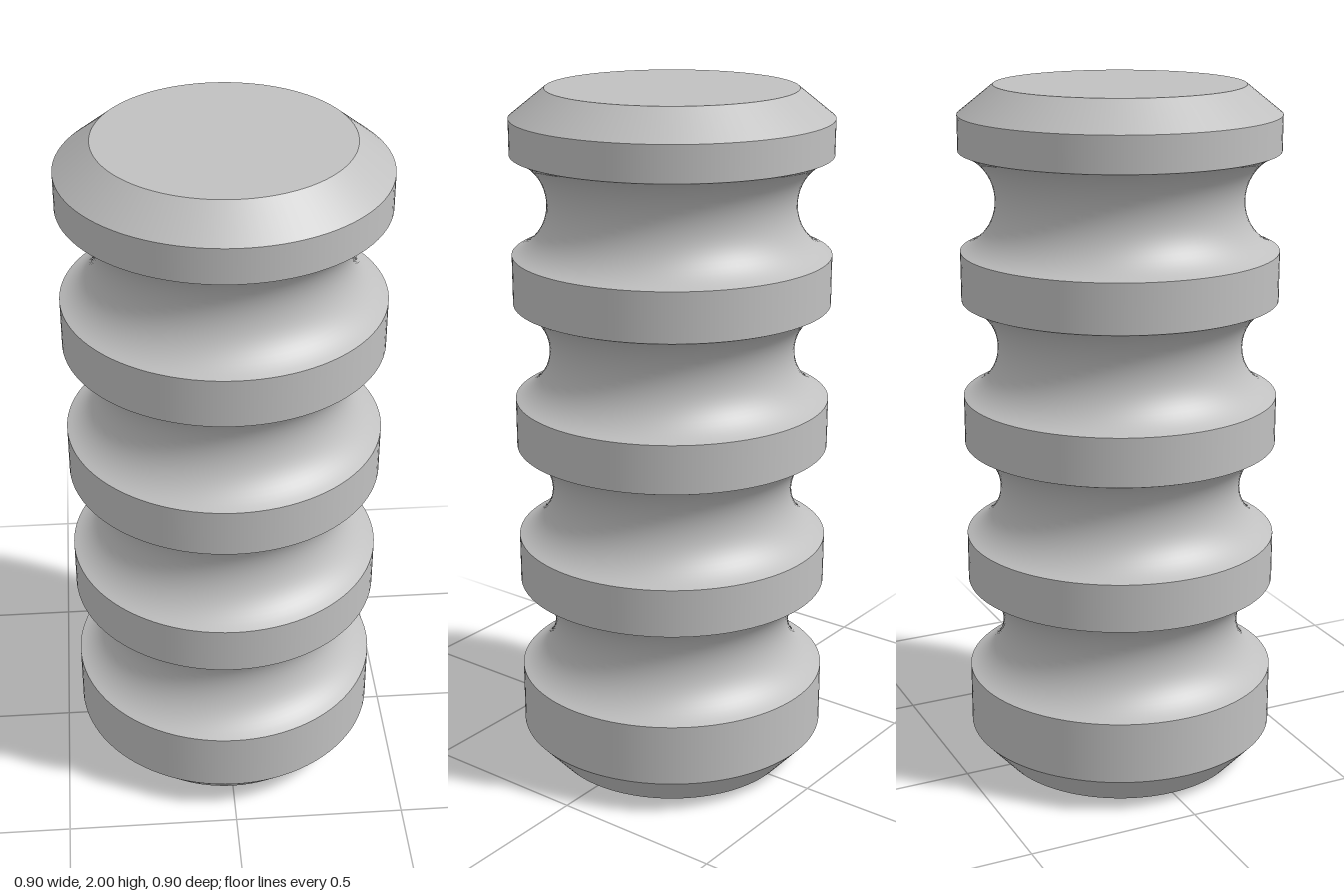
import * as THREE from 'three';

const SEGMENTS = 96;
const RADIUS = 0.45;
const GROOVE_HALF = 0.14, GROOVE_DEPTH = 0.1, PITCH = 0.42, FIRST_GROOVE = 0.42, GROOVES = 4;

export function createModel() {
  const group = new THREE.Group();
  group.name = 'groovedPin';
  const grey = new THREE.MeshStandardMaterial({ color: 0xc0c0c0 });
  grey.name = 'grey metal';

  const add = (name, geometry) => {
    const mesh = new THREE.Mesh(geometry, grey);
    mesh.name = name;
    group.add(mesh);
    return mesh;
  };
  // Each band is its own lathe, which keeps the edges between bands sharp
  const band = (name, points) =>
    add(name, new THREE.LatheGeometry(points.map(([r, y]) => new THREE.Vector2(r, y)), SEGMENTS));

  // End faces
  const bottom = add('bottomFace', new THREE.CircleGeometry(0.36, SEGMENTS));
  bottom.rotation.x = Math.PI / 2;
  const top = add('topFace', new THREE.CircleGeometry(0.35, SEGMENTS));
  top.rotation.x = -Math.PI / 2;
  top.position.y = 2;

  // Chamfers at both ends
  band('bottomChamfer', [[0.36, 0], [RADIUS, 0.1]]);
  band('topChamfer', [[RADIUS, 1.92], [0.35, 2]]);

  // Round grooves with the straight ribs below them
  const arc = (GROOVE_HALF ** 2 + GROOVE_DEPTH ** 2) / (2 * GROOVE_DEPTH);
  const arcCentre = RADIUS - GROOVE_DEPTH + arc;
  const maxAngle = Math.asin(GROOVE_HALF / arc);
  let ribStart = 0.1;
  for (let i = 0; i < GROOVES; i++) {
    const y = FIRST_GROOVE + i * PITCH;
    band('rib' + (i + 1), [[RADIUS, ribStart], [RADIUS, y - GROOVE_HALF]]);
    const points = [];
    for (let k = 0; k <= 24; k++) {
      const a = maxAngle * (k / 12 - 1);
      points.push([arcCentre - arc * Math.cos(a), y + arc * Math.sin(a)]);
    }
    band('groove' + (i + 1), points);
    ribStart = y + GROOVE_HALF;
  }
  band('topRib', [[RADIUS, ribStart], [RADIUS, 1.92]]);

  return group;
}
